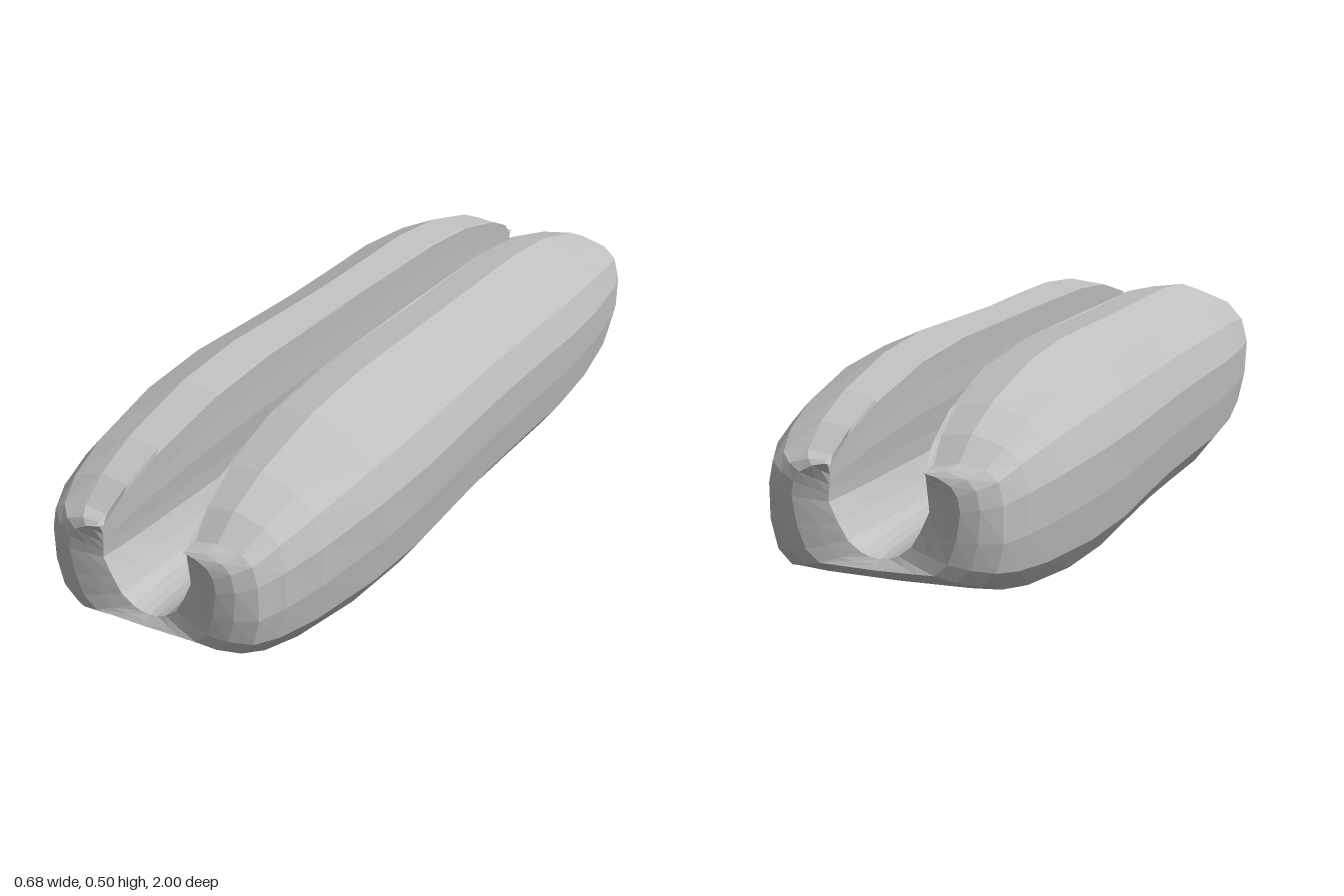
import * as THREE from 'three';

// Half cross-sections [x, y], outer and inner skins both run from the centre line up to the lip
const OUTER_MID = [[0, 0], [0.17, 0.008], [0.26, 0.035], [0.313, 0.105], [0.333, 0.21],
  [0.34, 0.31], [0.315, 0.39], [0.265, 0.453], [0.165, 0.497], [0.075, 0.486]];
const OUTER_END = [[0, 0.115], [0.15, 0.115], [0.205, 0.11], [0.235, 0.14], [0.25, 0.2],
  [0.25, 0.275], [0.24, 0.32], [0.215, 0.34], [0.16, 0.35], [0.108, 0.342]];
const INNER_MID = [[0, 0.165], [0.02, 0.167], [0.04, 0.17], [0.06, 0.177], [0.075, 0.21],
  [0.09, 0.255], [0.085, 0.3], [0.075, 0.36], [0.072, 0.42], [0.067, 0.484]];
const INNER_END = [[0, 0.15], [0.02, 0.153], [0.04, 0.16], [0.067, 0.18], [0.088, 0.215],
  [0.107, 0.255], [0.106, 0.27], [0.104, 0.29], [0.102, 0.31], [0.1, 0.33]];

// Stations along the loaf: [outer z, inner z, taper to end, fold of the skins together, waist scale]
const STATIONS = [
  [0, 0, 0, 0, 0.975], [0.2, 0.2, 0, 0, 0.985], [0.4, 0.4, 0, 0, 1], [0.6, 0.61, 0.11, 0, 1],
  [0.8, 0.82, 0.42, 0, 1], [0.9, 0.925, 0.7, 0, 1], [0.96, 0.982, 1, 0, 1],
  [0.988, 0.992, 1, 0.25, 1], [1, 1, 1, 0.5, 1],
];

const mix = (a, b, t) => a + (b - a) * t;

// One closed C-shaped ring of points, counter-clockwise seen from the front
function ring([zo, zi, taper, fold, waist], side) {
  const skin = (mid, end, z) => mid.map(([x, y], i) => new THREE.Vector3(
    mix(x, end[i][0], taper), mix(y, end[i][1], taper), z * side));
  const o = skin(OUTER_MID, OUTER_END, zo);
  const n = skin(INNER_MID, INNER_END, zi);
  o.forEach((p) => { p.x *= waist; p.y = 0.25 + (p.y - 0.25) * (1 + (waist - 1) * 0.6); });
  // Folding the skins towards each other closes the rounded ends
  const fo = o.map((p, i) => p.clone().lerp(n[i], fold).setZ(zo * side));
  const fn = n.map((p, i) => p.clone().lerp(o[i], fold).setZ(zi * side));
  const half = [...fo, ...fn.reverse()];
  const mirrored = half.slice(1, -1).reverse().map((p) => new THREE.Vector3(-p.x, p.y, p.z));
  return [...half, ...mirrored];
}

function bunGeometry() {
  const rows = [
    ...STATIONS.slice(1).reverse().map((s) => ring(s, -1)),
    ...STATIONS.map((s) => ring(s, 1)),
  ];
  const count = rows[0].length;
  const index = [];
  for (let r = 0; r < rows.length - 1; r++) {
    for (let i = 0; i < count; i++) {
      const j = (i + 1) % count;
      const a = r * count + i, b = r * count + j;
      index.push(a, b, b + count, a, b + count, a + count);
    }
  }
  const geometry = new THREE.BufferGeometry().setFromPoints(rows.flat());
  geometry.setIndex(index);
  // Separate faces give faceted shading
  const faceted = geometry.toNonIndexed();
  faceted.computeVertexNormals();
  return faceted;
}

export function createModel() {
  const group = new THREE.Group();
  group.name = 'splitBun';
  const grey = new THREE.MeshStandardMaterial({ color: 0xc0c0c0 });
  grey.name = 'light grey';
  const bun = new THREE.Mesh(bunGeometry(), grey);
  bun.name = 'bun';
  group.add(bun);
  return group;
}
